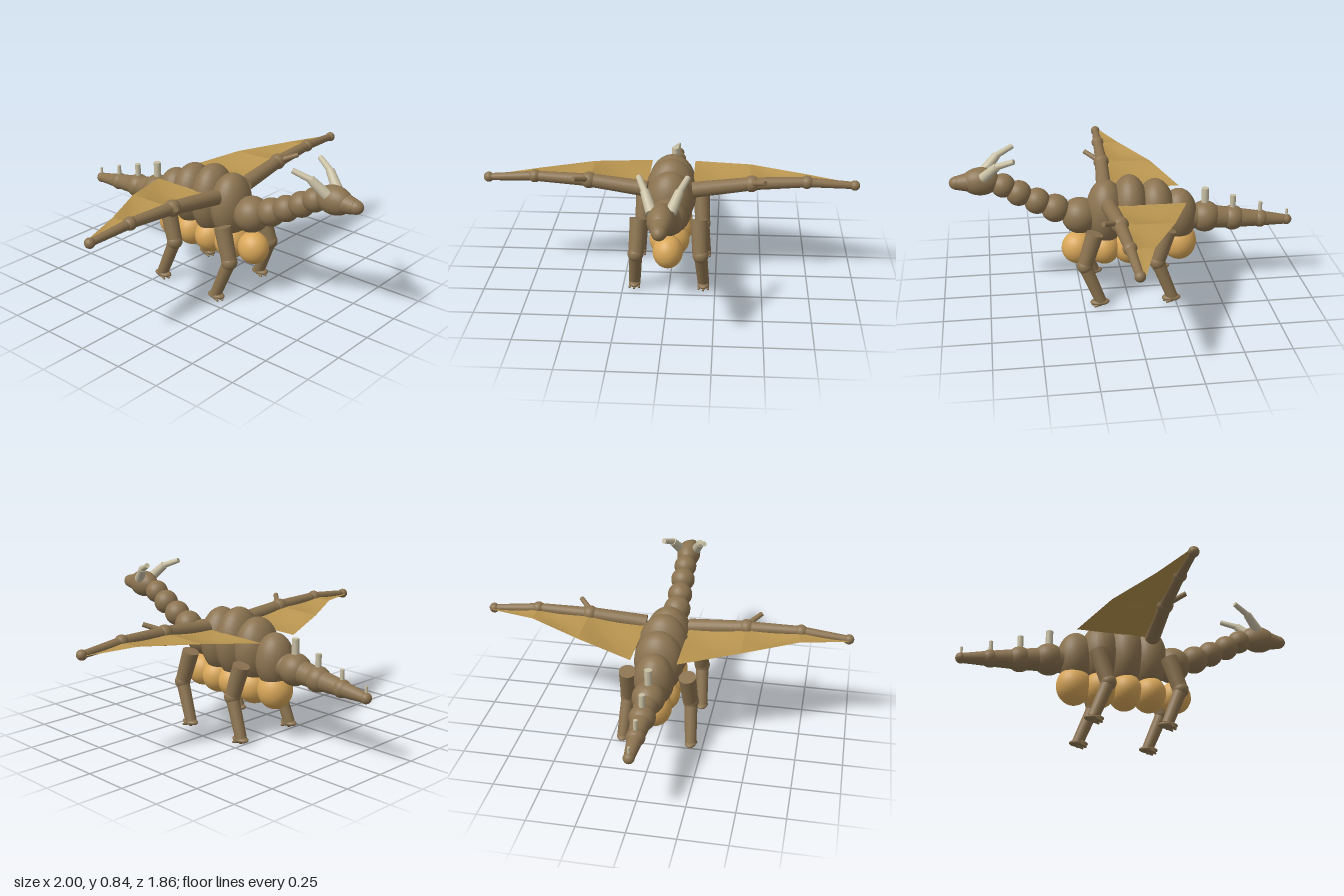
import * as THREE from 'three';

const material = (name, color, side = THREE.FrontSide) => {
  const m = new THREE.MeshStandardMaterial({ color, side });
  m.name = name;
  return m;
};

export function createModel() {
  const model = new THREE.Group();
  model.name = 'wingedDragon';
  const hide = material('brown hide', 0x8b7350);
  const bellyGold = material('golden belly', 0xd9a759);
  const skin = material('tan wing skin', 0xb8944f, THREE.DoubleSide);
  const bone = material('pale horn', 0xc8bfa3);
  const vec = (p) => new THREE.Vector3(...p);

  const add = (parent, name, geometry, mat) => {
    const mesh = new THREE.Mesh(geometry, mat);
    mesh.name = name;
    parent.add(mesh);
    return mesh;
  };
  const ball = (parent, name, p, r, mat = hide) => {
    const mesh = add(parent, name, new THREE.SphereGeometry(1, 28, 18), mat);
    mesh.position.set(...p);
    mesh.scale.set(...(Array.isArray(r) ? r : [r, r, r]));
    return mesh;
  };
  // Tapered limb from a to b
  const limb = (parent, name, a, b, ra, rb, mat = hide) => {
    const from = vec(a), to = vec(b), dir = to.clone().sub(from);
    const mesh = add(parent, name, new THREE.CylinderGeometry(rb, ra, dir.length(), 20), mat);
    mesh.position.copy(from).add(to).multiplyScalar(0.5);
    mesh.quaternion.setFromUnitVectors(new THREE.Vector3(0, 1, 0), dir.normalize());
    return mesh;
  };

  // Body rings: z, centre y, then radii
  [
    [0.11, 0.48, 0.125, 0.18, 0.105],
    [-0.02, 0.485, 0.138, 0.195, 0.105],
    [-0.16, 0.475, 0.132, 0.175, 0.105],
    [-0.29, 0.44, 0.105, 0.148, 0.1],
  ].forEach(([z, y, ...r]) => ball(model, 'bodySegment', [0, y, z], r));

  // Belly plates
  [
    [0.265, 0.275, 0.08, 0.09, 0.087],
    [0.12, 0.275, 0.108, 0.098, 0.09],
    [-0.015, 0.275, 0.118, 0.1, 0.09],
    [-0.155, 0.275, 0.113, 0.1, 0.09],
    [-0.295, 0.28, 0.095, 0.105, 0.095],
  ].forEach(([z, y, ...r]) => ball(model, 'bellyPlate', [0, y, z], r, bellyGold));

  // Neck and head
  [
    [0.25, 0.465, 0.098], [0.38, 0.515, 0.076], [0.475, 0.562, 0.07],
    [0.57, 0.612, 0.068], [0.65, 0.66, 0.064],
  ].forEach(([z, y, r]) => ball(model, 'neckSegment', [0, y, z], r));
  ball(model, 'head', [0, 0.69, 0.765], [0.067, 0.075, 0.1]);
  limb(model, 'muzzle', [0, 0.69, 0.79], [0, 0.687, 0.885], 0.06, 0.038);
  ball(model, 'snout', [0, 0.687, 0.885], [0.037, 0.037, 0.045]);

  // Tail joints with a spike on each: z, y, joint radius, spike top, spike radius
  const tail = [
    [-0.435, 0.42, 0.086, 0.585, 0.02],
    [-0.59, 0.402, 0.068, 0.535, 0.016],
    [-0.745, 0.388, 0.048, 0.487, 0.011],
    [-0.897, 0.373, 0.029, 0.435, 0.007],
  ];
  let previous = [0, 0.43, -0.3], thickness = 0.075;
  tail.forEach(([z, y, r, top, spikeR], i) => {
    const p = [0, y, z], next = [0.066, 0.056, 0.042, 0.026][i];
    limb(model, 'tailSegment', previous, p, thickness, next);
    ball(model, 'tailJoint', p, r);
    limb(model, 'tailSpike', [0, y + r * 0.8, z], [0, top, z], spikeR, spikeR, bone);
    previous = p;
    thickness = next;
  });

  // Wing bone joints and matching trailing edge points
  const bones = [[0.12, 0.56, 0.105], [0.43, 0.595, 0.085], [0.72, 0.607, 0.075], [0.972, 0.59, 0.063]];
  const trailing = [[0.12, 0.557, -0.31], [0.43, 0.59, -0.195], [0.72, 0.603, -0.045], [0.972, 0.59, 0.035]];

  // Wing skin panel i, sagging between its two bones
  const panel = (i, s) => {
    const n = 8, g = new THREE.PlaneGeometry(1, 1, n, n), pos = g.attributes.position;
    const a = vec(bones[i]), b = vec(bones[i + 1]), c = vec(trailing[i]), d = vec(trailing[i + 1]);
    for (let k = 0; k < pos.count; k++) {
      const u = pos.getX(k) + 0.5, v = 0.5 - pos.getY(k);
      const p = a.clone().lerp(b, u).lerp(c.clone().lerp(d, u), v);
      p.y -= [0.025, 0.018, 0.008][i] * Math.sin(Math.PI * u) * Math.sin(Math.PI * v);
      pos.setXYZ(k, s * p.x, p.y, p.z);
    }
    // Keep the winding upward on both sides
    const index = g.index.array;
    if (s > 0) {
      for (let k = 0; k < index.length; k += 3) [index[k], index[k + 1]] = [index[k + 1], index[k]];
    }
    g.computeVertexNormals();
    return g;
  };

  for (const s of [1, -1]) {
    const side = s > 0 ? 'left' : 'right';
    const m = ([x, y, z]) => [s * x, y, z];

    const horn = new THREE.Group();
    horn.name = side + 'Horn';
    model.add(horn);
    limb(horn, 'hornBase', m([0.045, 0.725, 0.75]), m([0.082, 0.8, 0.675]), 0.028, 0.022, bone);
    limb(horn, 'hornTip', m([0.08, 0.797, 0.68]), m([0.117, 0.835, 0.59]), 0.017, 0.014, bone);

    const wing = new THREE.Group();
    wing.name = side + 'Wing';
    model.add(wing);
    const radii = [[0.042, 0.036], [0.034, 0.027], [0.026, 0.019]];
    for (let i = 0; i < 3; i++) {
      limb(wing, 'wingBone', m(bones[i]), m(bones[i + 1]), ...radii[i]);
      ball(wing, 'wingJoint', m(bones[i + 1]), [0.044, 0.035, 0.027][i]);
      add(wing, 'wingSkin', panel(i, s), skin);
    }
    limb(wing, 'wingClaw', m([0.43, 0.605, 0.1]), m([0.5, 0.637, 0.175]), 0.015, 0.013);

    // Legs: the hind pair repeats the front pair further back
    for (const [pair, z] of [['Front', 0], ['Hind', -0.39]]) {
      const leg = new THREE.Group();
      leg.name = side + pair + 'Leg';
      leg.position.z = z;
      model.add(leg);
      limb(leg, 'thigh', m([0.16, 0.425, 0.185]), m([0.17, 0.245, 0.242]), 0.046, 0.041);
      ball(leg, 'knee', m([0.172, 0.245, 0.242]), 0.043);
      limb(leg, 'shin', m([0.172, 0.245, 0.242]), m([0.187, 0.035, 0.16]), 0.036, 0.031);
      ball(leg, 'foot', m([0.187, 0.032, 0.165]), [0.032, 0.017, 0.052]);
      for (const t of [-1, 0, 1]) {
        const x = 0.187 + t * 0.018;
        limb(leg, 'toe', m([x, 0.03, 0.165]), m([x + t * 0.008, 0.014, 0.21 - Math.abs(t) * 0.012]), 0.013, 0.005);
      }
      limb(leg, 'heel', m([0.187, 0.03, 0.16]), m([0.187, 0.009, 0.165]), 0.022, 0.009);
    }
  }
  return model;
}
